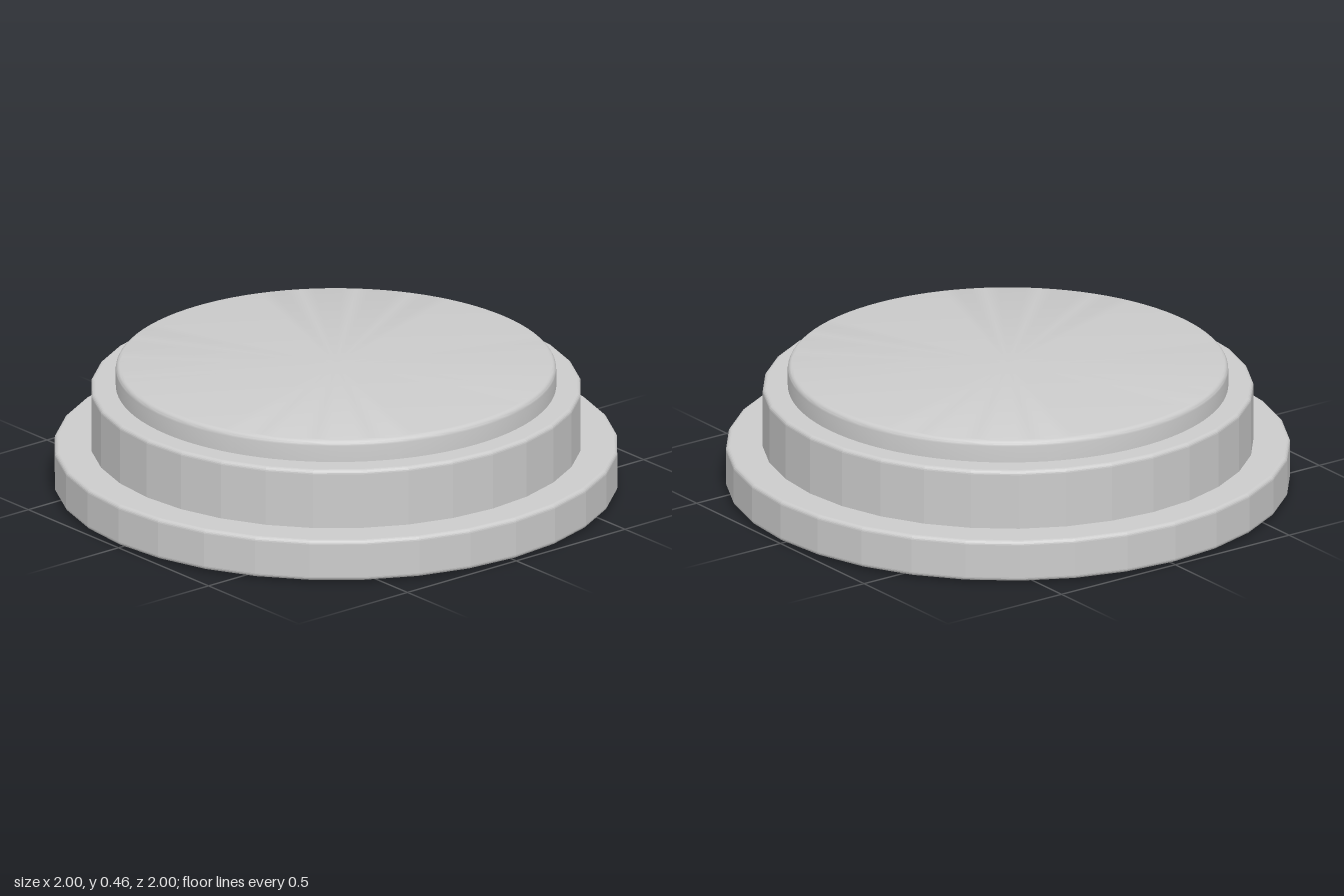
import * as THREE from 'three';
import { toCreasedNormals } from 'three/addons/utils/BufferGeometryUtils.js';

// Closed disc profile with rounded rims, from the bottom centre to the top centre
function discProfile(radius, y0, y1, bottomBevel, topBevel, steps) {
  const points = [new THREE.Vector2(0, y0)];
  const rim = (bevel, centreY, startAngle) => {
    for (let i = 0; i <= steps; i++) {
      const a = startAngle + (i / steps) * Math.PI / 2;
      points.push(new THREE.Vector2(radius - bevel + bevel * Math.cos(a), centreY + bevel * Math.sin(a)));
    }
  };
  rim(bottomBevel, y0 + bottomBevel, -Math.PI / 2);
  rim(topBevel, y1 - topBevel, 0);
  points.push(new THREE.Vector2(0, y1));
  return points;
}

export function createModel() {
  const group = new THREE.Group();
  const smooth = new THREE.MeshStandardMaterial({ color: 0xcccccc });
  const faceted = new THREE.MeshStandardMaterial({ color: 0xcccccc, flatShading: true });

  const add = (name, geometry, material) => {
    const mesh = new THREE.Mesh(geometry, material);
    mesh.name = name;
    group.add(mesh);
  };

  // Wide faceted foot flange, raised just off the ground
  add('baseFlange', new THREE.LatheGeometry(discProfile(1, 0.008, 0.16, 0.015, 0.015, 5), 32), faceted);

  // Faceted middle collar
  add('middleCollar', new THREE.LatheGeometry(discProfile(0.87, 0.1, 0.377, 0.015, 0.015, 5), 32), faceted);

  // Smooth core that passes through both rings and shows at the top and bottom
  const core = new THREE.LatheGeometry(discProfile(0.78, 0, 0.457, 0.008, 0.02, 5), 96);
  add('centreCore', toCreasedNormals(core, 0.5), smooth);

  return group;
}
